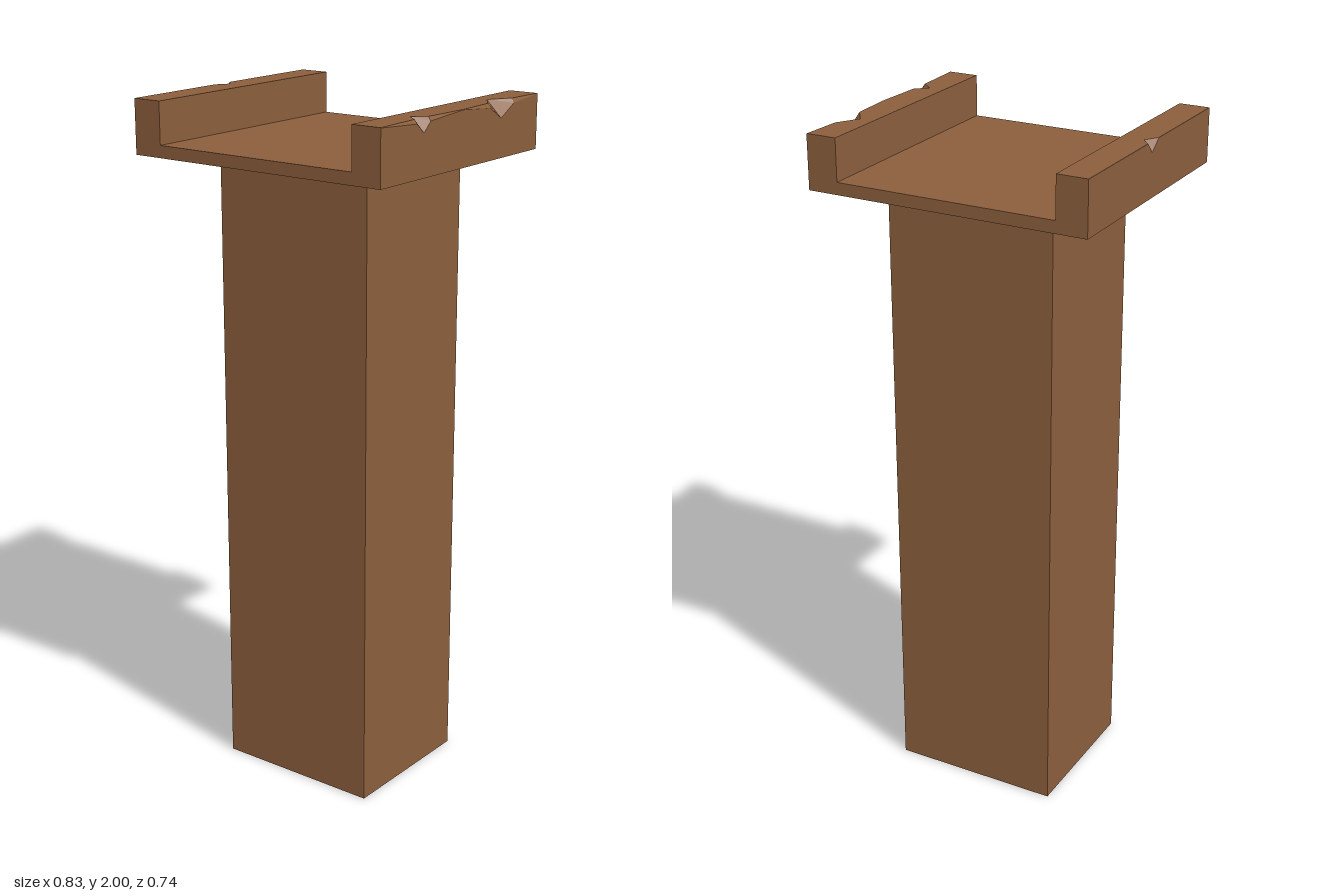
import * as THREE from 'three';

const BOTTOM = 1.845, TOP = 2, FLOOR = 1.88;
const INNER = 0.324, OUTER = 0.414, BACK = -0.373, FRONT = 0.371;

// Rail lofted along z; each station is [z, wear inset across the top, wear depth down the side]
function railGeometry(side, stations) {
  const sections = stations.map(([z, inset, depth]) => [
    [INNER, BOTTOM], [OUTER, BOTTOM], [OUTER, TOP - depth], [OUTER - inset, TOP], [INNER, TOP],
  ].map(([x, y]) => [side * x, y, z]));
  const positions = [];
  const tri = (a, b, c) => positions.push(...a, ...(side > 0 ? b : c), ...(side > 0 ? c : b));
  for (let i = 0; i < sections.length - 1; i++) {
    const p = sections[i], q = sections[i + 1];
    for (let j = 0; j < 5; j++) {
      const k = (j + 1) % 5;
      tri(p[j], p[k], q[k]);
      tri(p[j], q[k], q[j]);
    }
  }
  // End caps
  const first = sections[0], last = sections[sections.length - 1];
  for (let j = 1; j < 4; j++) {
    tri(last[0], last[j], last[j + 1]);
    tri(first[0], first[j + 1], first[j]);
  }
  const geometry = new THREE.BufferGeometry();
  geometry.setAttribute('position', new THREE.Float32BufferAttribute(positions, 3));
  geometry.computeVertexNormals();
  return geometry;
}

export function createModel() {
  const group = new THREE.Group();
  const brown = new THREE.MeshStandardMaterial({ color: 0x8b5e3c });
  brown.name = 'brown';

  const add = (name, geometry, x = 0, y = 0, z = 0) => {
    const mesh = new THREE.Mesh(geometry, brown);
    mesh.name = name;
    mesh.position.set(x, y, z);
    group.add(mesh);
  };

  // Square support and the slab it carries
  add('pillar', new THREE.BoxGeometry(0.502, BOTTOM, 0.44), 0.012, BOTTOM / 2, 0);
  add('deckFloor', new THREE.BoxGeometry(2 * INNER, FLOOR - BOTTOM, FRONT - BACK),
    0, (FLOOR + BOTTOM) / 2, (FRONT + BACK) / 2);

  // Left rail: worn edge with two chips
  add('leftRail', railGeometry(1, [
    [BACK, 0.001, 0.001],
    [-0.25, 0.008, 0.012], [-0.186, 0.047, 0.046], [-0.13, 0.008, 0.012],
    [0, 0.001, 0.001],
    [0.152, 0.008, 0.011], [0.182, 0.043, 0.038], [0.214, 0.008, 0.011],
    [FRONT, 0.001, 0.001],
  ]));

  // Right rail: straight edge with one small chip
  add('rightRail', railGeometry(-1, [
    [BACK, 0.0005, 0.0005],
    [-0.03, 0.0005, 0.0005], [-0.003, 0.025, 0.03], [0.035, 0.0005, 0.0005],
    [FRONT, 0.0005, 0.0005],
  ]));

  return group;
}
